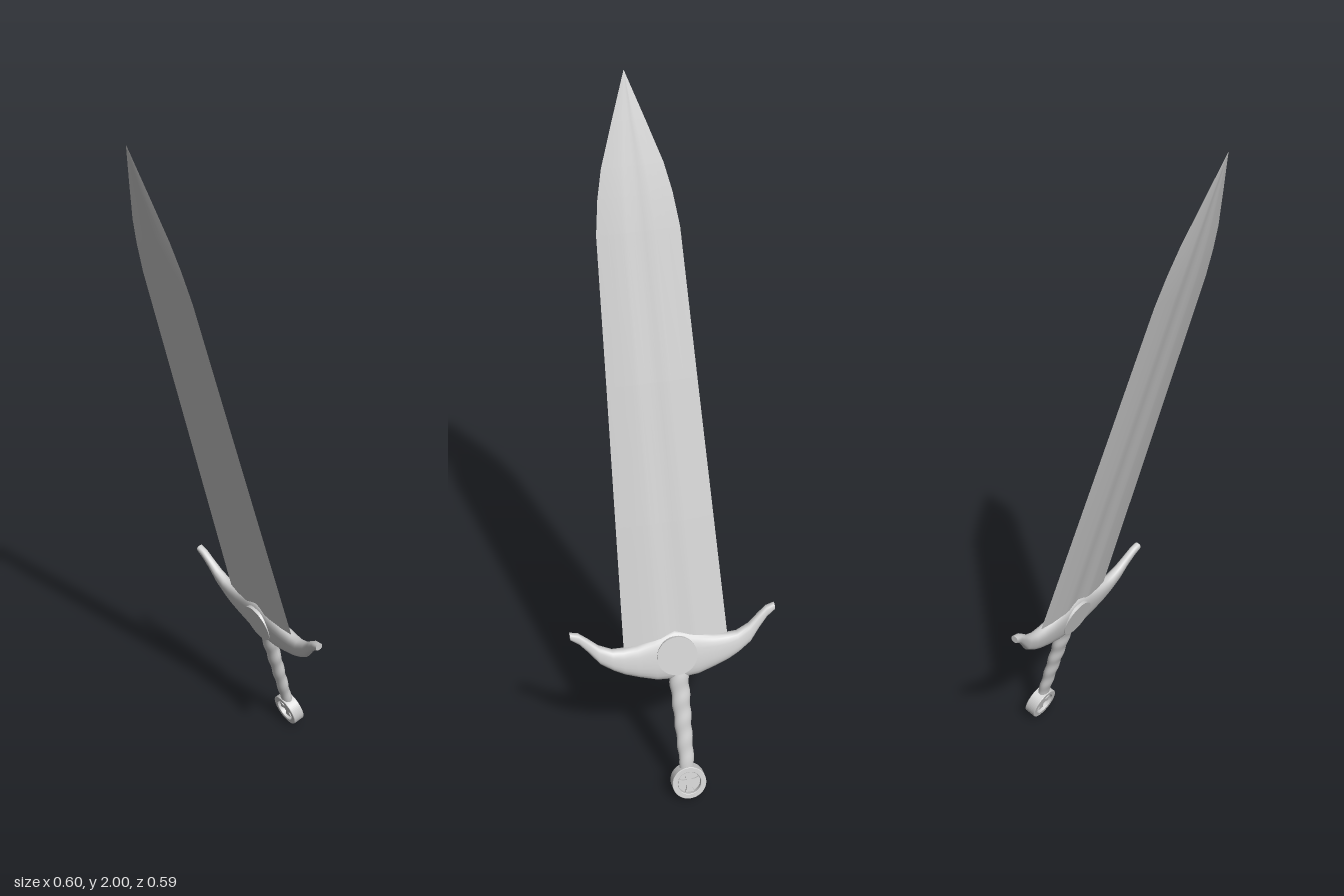
import * as THREE from 'three';

const material = new THREE.MeshStandardMaterial({ color: 0xcccccc });

function addMesh(parent, name, geometry) {
  const mesh = new THREE.Mesh(geometry, material);
  mesh.name = name;
  parent.add(mesh);
  return mesh;
}

// Skin a list of equally sized cross-sections; closed sections wrap round.
function loft(sections, closed) {
  const n = sections[0].length;
  const index = [];
  for (let i = 0; i < sections.length - 1; i++) {
    for (let j = 0; j < (closed ? n : n - 1); j++) {
      const a = i * n + j, b = i * n + (j + 1) % n;
      index.push(a, b, a + n, b, b + n, a + n);
    }
  }
  const geometry = new THREE.BufferGeometry();
  geometry.setAttribute('position', new THREE.Float32BufferAttribute(sections.flat(2), 3));
  geometry.setIndex(index);
  geometry.computeVertexNormals();
  return geometry;
}

// Blade: two smooth faces meeting at sharp edges, with a shallow fuller.
function bladeFace(side) {
  // distance along the sword, half width, half thickness
  const stations = [
    [0.43, 0.15, 0.014], [0.8, 0.138, 0.0135], [1.2, 0.125, 0.013], [1.611, 0.1125, 0.012],
    [1.705, 0.1, 0.011], [1.783, 0.083, 0.009], [1.9, 0.044, 0.005], [2.028, 0, 0],
  ];
  // fraction of the half width, fraction of the half thickness
  const half = [[1, 0], [0.7, 0.55], [0.4, 0.95], [0.28, 1], [0.14, 0.8]];
  const across = [...half, [0, 0.7], ...half.map(([w, t]) => [-w, t]).reverse()];
  return loft(stations.map(([s, hw, ht]) =>
    across.map(([w, t]) => [side * t * ht, s, side * w * hw])), false);
}

// Crossguard: full oval sections swept along z, curving up towards both ends.
function guardGeometry() {
  // distance from centre, bottom, top, half thickness
  const half = [
    [0, 0.328, 0.478, 0.026], [0.06, 0.333, 0.461, 0.025], [0.11, 0.349, 0.447, 0.023],
    [0.15, 0.364, 0.443, 0.021], [0.18, 0.38, 0.444, 0.019], [0.217, 0.406, 0.462, 0.016],
    [0.245, 0.444, 0.487, 0.013], [0.27, 0.474, 0.507, 0.012], [0.294, 0.492, 0.513, 0.011],
  ];
  const stations = [...half.slice(1).reverse().map(([z, ...r]) => [-z, ...r]), ...half];
  const bulge = (v) => Math.sign(v) * Math.abs(v) ** 0.8;
  const ring = ([z, low, high, t], scale = 1) => Array.from({ length: 24 }, (_, j) => {
    const a = j / 24 * Math.PI * 2;
    return [bulge(Math.cos(a)) * t * scale,
      (low + high) / 2 + bulge(Math.sin(a)) * (high - low) / 2 * scale, z + 0.003];
  });
  const first = stations[0], last = stations[stations.length - 1];
  // doubled end rings keep the end caps crisp
  return loft([ring(first, 0), ring(first), ...stations.map((s) => ring(s)),
    ring(last), ring(last, 0)], true);
}

// Grip: tapered oval rod with a gentle spiral swell.
function gripGeometry() {
  const geometry = new THREE.CylinderGeometry(1, 1, 0.31, 24, 48, true);
  geometry.translate(0, 0.2, 0);
  const p = geometry.attributes.position;
  for (let i = 0; i < p.count; i++) {
    const y = p.getY(i), x = p.getX(i), z = p.getZ(i);
    const wave = Math.sin((y - 0.05) * Math.PI * 2 / 0.065 + Math.atan2(z, x));
    const radius = (0.021 + (y - 0.05) * 0.026) * (1 + 0.06 * wave);
    p.setXYZ(i, x * radius * 0.72, y, z * radius);
  }
  geometry.computeVertexNormals();
  return geometry;
}

// One flared arm of the cross in the pommel.
function crossArm() {
  const shape = new THREE.Shape([
    new THREE.Vector2(-0.007, 0), new THREE.Vector2(0.007, 0),
    new THREE.Vector2(0.008, 0.018), new THREE.Vector2(0.013, 0.031),
    new THREE.Vector2(-0.013, 0.031), new THREE.Vector2(-0.008, 0.018),
  ]);
  return new THREE.ExtrudeGeometry(shape, { depth: 0.02, bevelEnabled: false })
    .translate(0, 0, -0.01);
}

export function createModel() {
  const model = new THREE.Group();
  model.name = 'sword';

  // Everything is built upright from the pommel centre, then leaned over.
  const sword = new THREE.Group();
  sword.name = 'leaningSword';
  sword.position.set(0.271, 0.054, -0.018);
  sword.rotation.set(0.0324, 0, 0.286);
  model.add(sword);

  const blade = new THREE.Group();
  blade.name = 'blade';
  sword.add(blade);
  addMesh(blade, 'bladeRightFace', bladeFace(1));
  addMesh(blade, 'bladeLeftFace', bladeFace(-1));

  addMesh(sword, 'crossguard', guardGeometry());
  const boss = addMesh(sword, 'guardBoss', new THREE.CylinderGeometry(0.058, 0.058, 0.054, 40));
  boss.rotation.z = Math.PI / 2;
  boss.position.set(0, 0.405, 0.003);

  addMesh(sword, 'grip', gripGeometry());

  // Pommel: round rim, thin web and a raised cross on both sides.
  const pommel = new THREE.Group();
  pommel.name = 'pommel';
  pommel.rotation.y = Math.PI / 2;
  sword.add(pommel);
  const rimShape = new THREE.Shape().absarc(0, 0, 0.048, 0, Math.PI * 2);
  rimShape.holes.push(new THREE.Path().absarc(0, 0, 0.036, 0, Math.PI * 2, true));
  addMesh(pommel, 'pommelRim', new THREE.ExtrudeGeometry(rimShape, {
    depth: 0.032, curveSegments: 32, bevelSize: 0.002, bevelThickness: 0.002, bevelSegments: 2,
  }).translate(0, 0, -0.016));
  const web = addMesh(pommel, 'pommelWeb', new THREE.CylinderGeometry(0.038, 0.038, 0.008, 32));
  web.rotation.x = Math.PI / 2;
  for (let i = 0; i < 4; i++) {
    addMesh(pommel, 'pommelCrossArm', crossArm()).rotation.z = i * Math.PI / 2;
  }

  return model;
}
